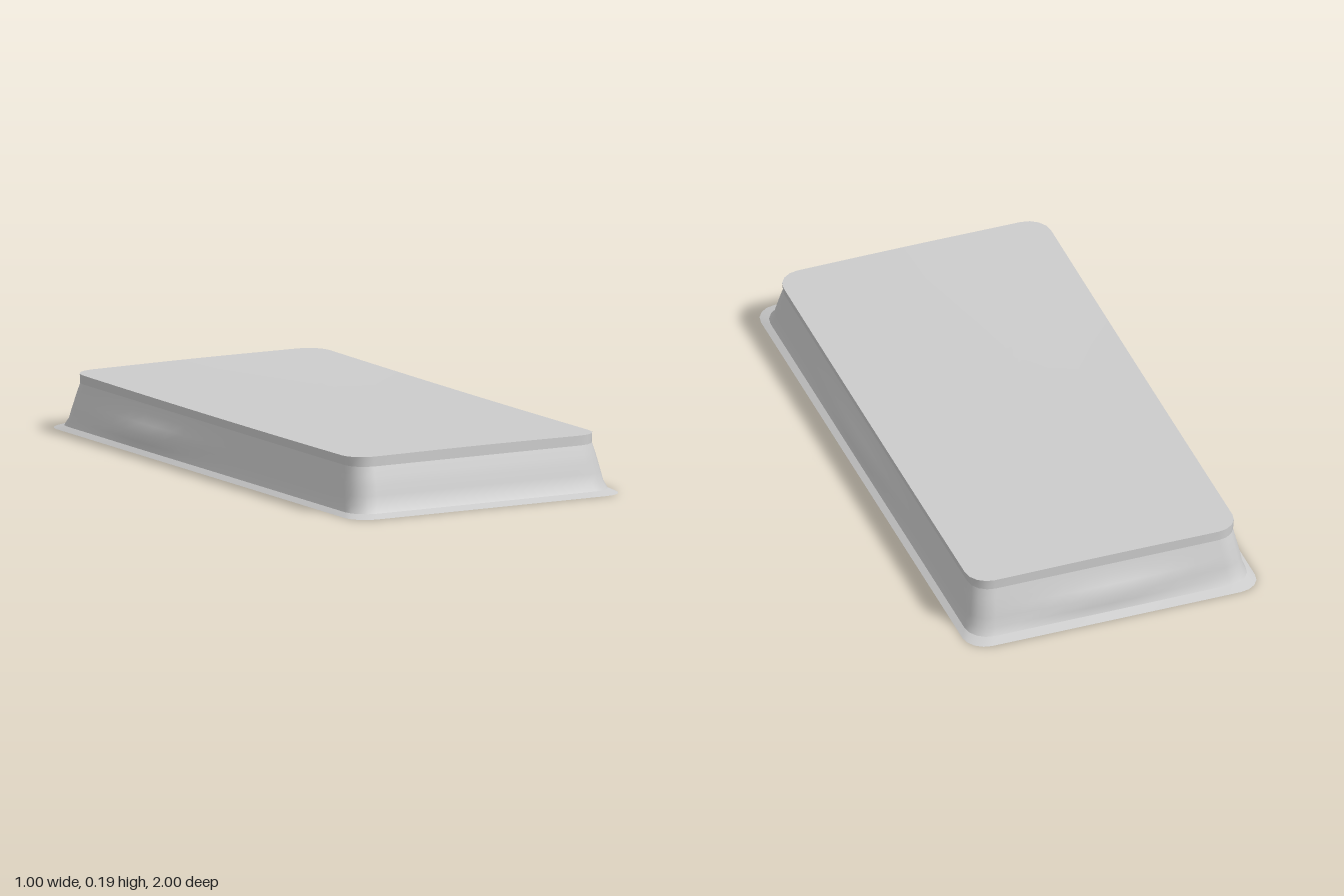
import * as THREE from 'three';

const gauss = (v, centre, width) => Math.exp(-(((v - centre) / width) ** 2));

// Outline of a rounded rectangle, counted from +x towards +z, with subdivided edges.
function outline(hx, hz, r) {
  const points = [];
  const corners = [[1, 1], [-1, 1], [-1, -1], [1, -1]];
  corners.forEach(([sx, sz], c) => {
    for (let k = 0; k <= 4; k++) {
      const a = (c + k / 4) * Math.PI / 2;
      points.push([sx * (hx - r) + r * Math.cos(a), sz * (hz - r) + r * Math.sin(a)]);
    }
    // straight run to the next corner
    const [nx, nz] = corners[(c + 1) % 4];
    const a = (c + 1) * Math.PI / 2;
    const start = points[points.length - 1];
    const end = [nx * (hx - r) + r * Math.cos(a), nz * (hz - r) + r * Math.sin(a)];
    const steps = c % 2 ? 20 : 10;
    for (let k = 1; k < steps; k++) {
      points.push([0, 1].map(i => start[i] + (end[i] - start[i]) * k / steps));
    }
  });
  return points;
}

// Skin a stack of rings; each ring is a list of [x, y, z].
function loft(rings) {
  const n = rings[0].length;
  const index = [];
  for (let j = 0; j < rings.length - 1; j++) {
    for (let i = 0; i < n; i++) {
      const a = j * n + i, b = j * n + (i + 1) % n;
      index.push(a, a + n, b, b, a + n, b + n);
    }
  }
  const geometry = new THREE.BufferGeometry();
  geometry.setAttribute('position', new THREE.Float32BufferAttribute(rings.flat(2), 3));
  geometry.setIndex(index);
  geometry.computeVertexNormals();
  return geometry;
}

// Gentle sag of the upper face along its length.
const topHeight = (x, z) => 0.184 + 0.004 * Math.min(1, z * z) + 0.001 * Math.cos(x * 6);

// Slight soft swellings in the side walls.
function swell([x, z], y) {
  const mid = gauss(y, 0.065, 0.03);
  if (x < -0.42) x -= 0.027 * mid * gauss(z, -0.4, 0.25);
  if (x > 0.42) x += 0.012 * mid * gauss(z, 0.1, 0.25);
  if (z < -0.88) z -= 0.018 * mid * gauss(x, 0, 0.25);
  return [x, y, z];
}

export function createModel() {
  const group = new THREE.Group();
  const material = new THREE.MeshStandardMaterial({ color: 0xcccccc });
  const add = (name, geometry) => {
    const mesh = new THREE.Mesh(geometry, material);
    mesh.name = name;
    group.add(mesh);
  };

  // Wall levels: height, half width, half length, corner radius
  const foot = [0, 0.5, 1, 0.075];
  const shoulder = [0.012, 0.48, 0.967, 0.075];
  const neck = [0.155, 0.452, 0.91, 0.07];
  const walls = [shoulder, [0.035, 0.472, 0.952, 0.075], [0.065, 0.468, 0.942, 0.075],
    [0.095, 0.463, 0.933, 0.075], [0.125, 0.457, 0.922, 0.07], neck];
  const ring = ([y, hx, hz, r]) => outline(hx, hz, r).map(p => swell(p, y));
  const rim = outline(0.457, 0.908, 0.075).map(([x, z]) => [x, topHeight(x, z), z]);

  // Flared foot, concave side walls and upright top lip
  add('baseFlange', loft([ring(foot), ring(shoulder)]));
  add('sideWalls', loft(walls.map(ring)));
  add('topLip', loft([ring(neck), rim]));

  // Upper face in shrinking rings, so that it can sag
  const shrink = [1, 0.8, 0.6, 0.4, 0.2, 0];
  add('topFace', loft(shrink.map(s =>
    rim.map(([x, , z]) => [x * s, topHeight(x * s, z * s), z * s]))));

  // Flat underside
  add('underside', loft([0, 1].map(s => ring(foot).map(([x, , z]) => [x * s, 0, z * s]))));

  return group;
}
